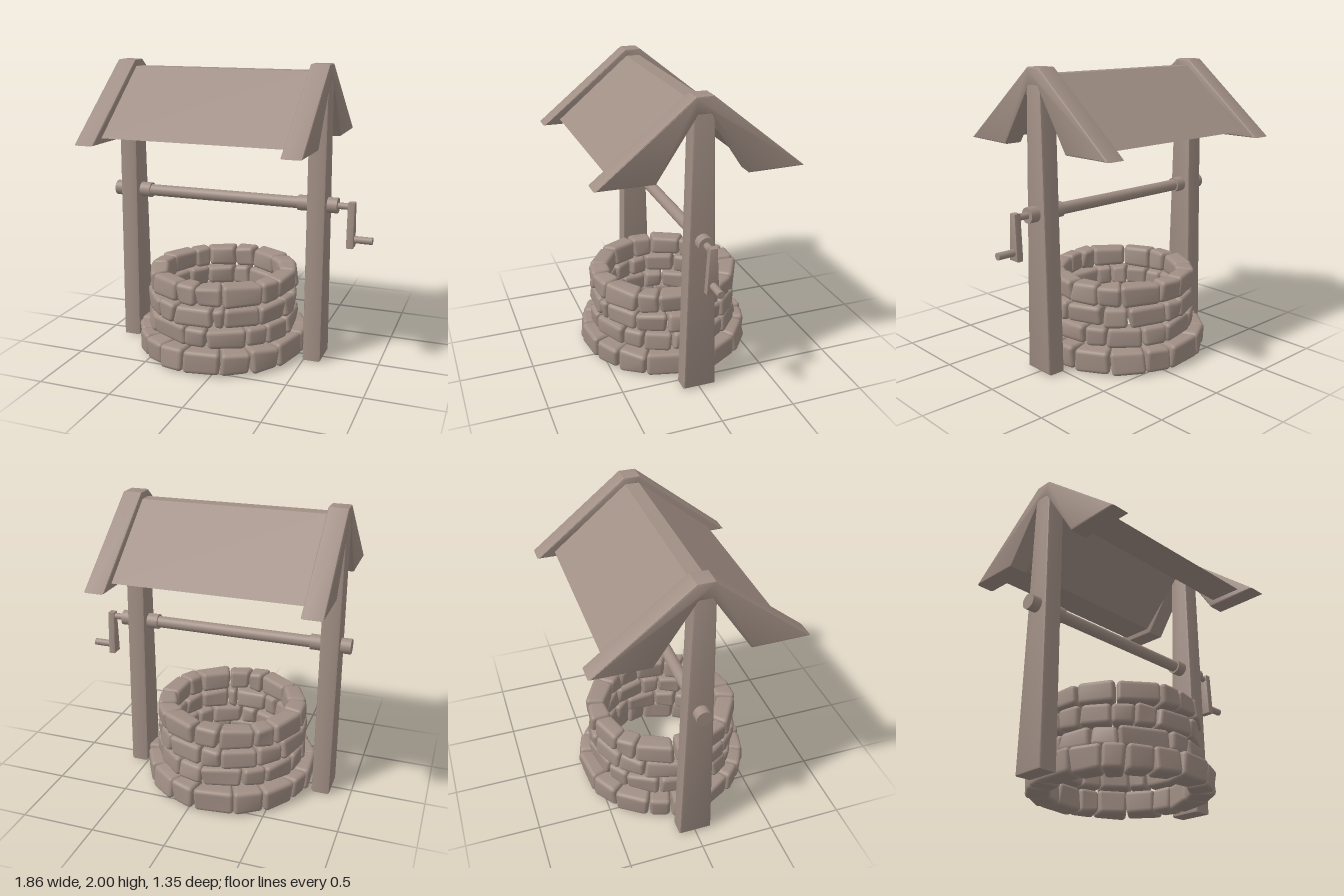
import * as THREE from 'three';
import { mergeVertices, toCreasedNormals } from 'three/addons/utils/BufferGeometryUtils.js';
import { RoundedBoxGeometry } from 'three/addons/geometries/RoundedBoxGeometry.js';

const CX = -0.12; // centre of the well shaft and posts
const AXLE_Y = 1.085;
const mat = new THREE.MeshStandardMaterial({ color: 0xa08e84 });

let seed = 7;
const rand = () => {
  seed = (seed * 16807) % 2147483647;
  return seed / 2147483647;
};
const jitter = (a) => (rand() * 2 - 1) * a;

function add(parent, name, geometry) {
  const mesh = new THREE.Mesh(geometry, mat);
  mesh.name = name;
  parent.add(mesh);
  return mesh;
}

// Side profile of [z, y] points (symmetric in z), extruded along x from x0 to x1
function profileAlongX(points, x0, x1, bevel) {
  const shape = new THREE.Shape(points.map(([z, y]) => new THREE.Vector2(z, y)));
  const g = new THREE.ExtrudeGeometry(shape, {
    depth: x1 - x0 - 2 * bevel,
    bevelEnabled: bevel > 0,
    bevelThickness: bevel, bevelSize: bevel, bevelOffset: -bevel, bevelSegments: 2,
  });
  g.rotateY(Math.PI / 2).translate(x0 + bevel, 0, 0);
  return toCreasedNormals(g, 0.6);
}

// Mirrors a half outline (z >= 0) to a closed symmetric one
const symmetric = (half) => [...half, ...half.map(([z, y]) => [-z, y]).reverse()];

function rod(parent, name, x0, x1, y, r) {
  const g = new THREE.CylinderGeometry(r, r, x1 - x0, 24);
  g.rotateZ(Math.PI / 2).translate((x0 + x1) / 2, y, 0);
  return add(parent, name, g);
}

// One rounded stone, wrapped into the ring between two angles
function stoneGeometry(a0, a1, y0, y1, rIn, rOut) {
  const w = (a1 - a0) * rOut - 0.006, h = y1 - y0, d = rOut - rIn;
  const box = new RoundedBoxGeometry(w, h, d, 2, 0.03);
  box.deleteAttribute('normal');
  box.deleteAttribute('uv');
  const g = mergeVertices(box, 1e-4);
  const corners = Array.from({ length: 8 }, () => [jitter(0.008), jitter(0.007), jitter(0.01)]);
  const p = g.attributes.position;
  const mid = (a0 + a1) / 2, rMid = (rIn + rOut) / 2;
  for (let i = 0; i < p.count; i++) {
    const x = p.getX(i), y = p.getY(i), z = p.getZ(i);
    const c = corners[(x > 0 ? 1 : 0) + (y > 0 ? 2 : 0) + (z > 0 ? 4 : 0)];
    const a = mid + (x + c[0]) / rOut;
    const r = rMid + z + c[2];
    p.setXYZ(i, CX + Math.sin(a) * r, Math.max(0, (y0 + y1) / 2 + y + c[1]), Math.cos(a) * r);
  }
  g.computeVertexNormals();
  return g;
}

// Stone courses: start angle and stone widths in degrees, scaled to close the ring
const courses = [
  { y0: 0.01, y1: 0.17, rIn: 0.43, rOut: 0.595, start: -42, widths: [17, 18, 26, 20, 21, 28, 17, 25, 24, 18, 27, 20, 24, 16, 26, 19, 14] },
  { y0: 0.17, y1: 0.3, rIn: 0.385, rOut: 0.522, start: -46, widths: [37, 17, 30, 18, 22, 31, 17, 28, 20, 32, 18, 27, 19, 25, 19] },
  { y0: 0.31, y1: 0.443, rIn: 0.385, rOut: 0.522, start: -35, widths: [16, 32, 9, 28, 24, 18, 31, 20, 30, 17, 27, 22, 30, 18, 22, 16] },
  { y0: 0.455, y1: 0.595, rIn: 0.385, rOut: 0.522, start: -48, widths: [32, 16, 20, 31, 17, 29, 22, 18, 31, 20, 27, 17, 30, 21, 29] },
];

export function createModel() {
  const group = new THREE.Group();
  group.name = 'well';

  // Stone wall
  const wall = new THREE.Group();
  wall.name = 'stoneWall';
  group.add(wall);
  courses.forEach(({ y0, y1, rIn, rOut, start, widths }, row) => {
    const scale = (Math.PI * 2) / widths.reduce((s, w) => s + w, 0);
    let a = THREE.MathUtils.degToRad(start);
    for (const w of widths) {
      add(wall, `stoneCourse${row + 1}`, stoneGeometry(a, a + w * scale, y0, y1, rIn, rOut));
      a += w * scale;
    }
  });

  // Tapered posts and the gable rafters over them
  const post = symmetric([[0.112, 0.01], [0.068, 1.93]]);
  const rafters = symmetric([[0.055, 2], [0.675, 1.5], [0.3, 1.495], [0.04, 1.89]]);
  for (const [side, x] of [['right', -0.8], ['left', 0.56]]) {
    add(group, `${side}Post`, profileAlongX(post, x - 0.063, x + 0.063, 0.014));
    add(group, `${side}Rafters`, profileAlongX(rafters, x - 0.066, x + 0.066, 0.012));
  }

  // Roof slab between the gables
  const roof = symmetric([[0.047, 1.955], [0.555, 1.535], [0.33, 1.535], [0.03, 1.86]]);
  add(group, 'roof', profileAlongX(roof, -0.74, 0.5, 0));

  // Axle with its collars
  rod(group, 'axle', -0.9, 0.66, AXLE_Y, 0.04);
  for (const [x0, x1] of [[-0.93, -0.85], [-0.74, -0.66], [0.42, 0.5], [0.61, 0.69]]) {
    rod(group, 'axleCollar', x0, x1, AXLE_Y, 0.052);
  }

  // Crank
  const crank = new THREE.Group();
  crank.name = 'crank';
  group.add(crank);
  rod(crank, 'crankShaft', 0.68, 0.775, AXLE_Y, 0.022);
  const arm = symmetric([[0.042, 0.81], [0.025, 1.115]]);
  add(crank, 'crankArm', profileAlongX(arm, 0.757, 0.805, 0.006));
  rod(crank, 'crankHandle', 0.79, 0.925, 0.865, 0.024);

  return group;
}
